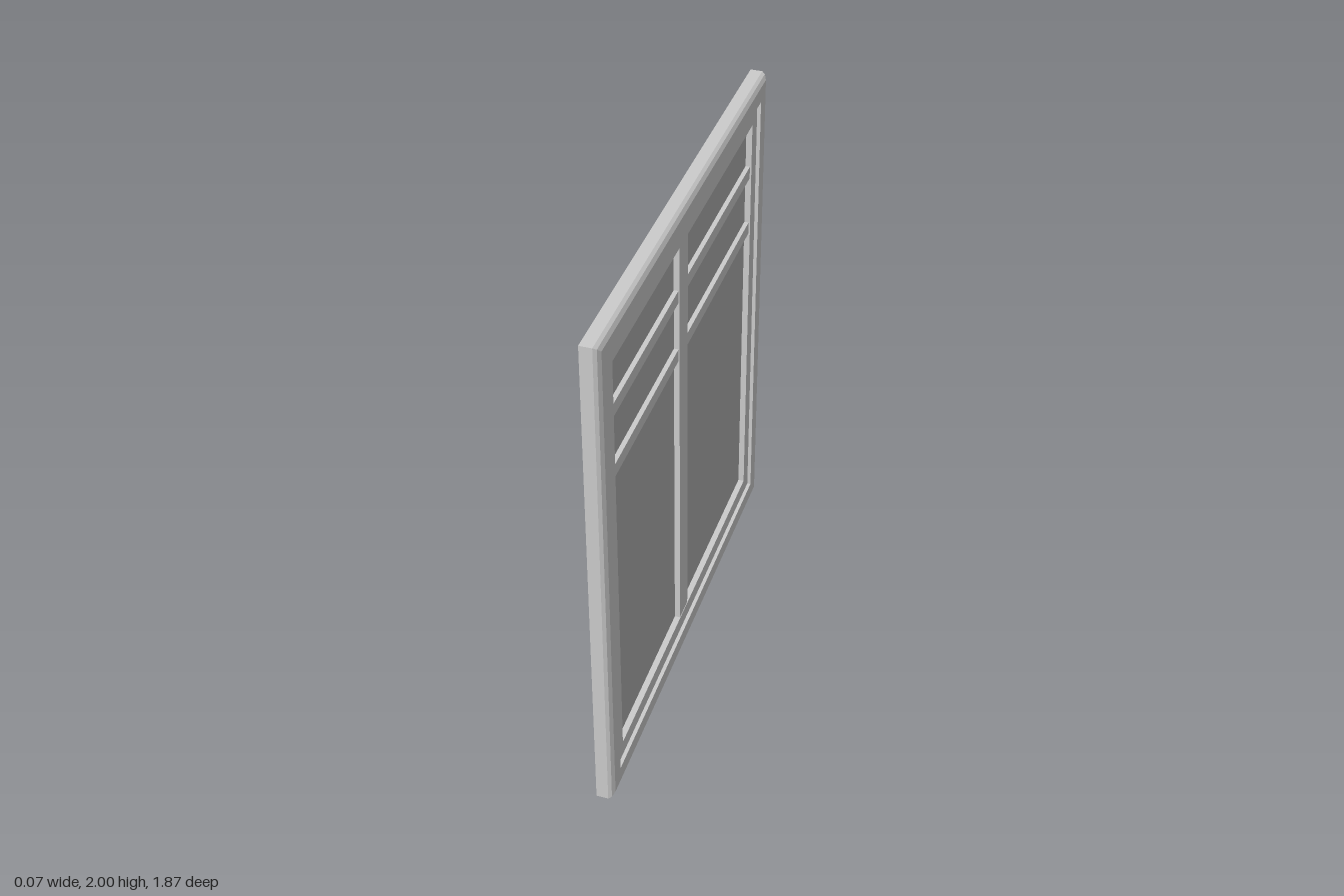
import * as THREE from 'three';

const W = 0.933, H = 2; // half width along z, full height
const grey = new THREE.MeshStandardMaterial({ color: 0xcccccc, side: THREE.DoubleSide });
const paneGrey = new THREE.MeshStandardMaterial({ color: 0xaeaeae, side: THREE.DoubleSide });

// Flat-faced skin stretched between successive rows of [x, y, z] points
function skin(name, rows) {
  const pos = [];
  for (let i = 0; i < rows.length - 1; i++) {
    for (let k = 0; k < rows[i].length - 1; k++) {
      const a = rows[i][k], b = rows[i][k + 1], c = rows[i + 1][k + 1], d = rows[i + 1][k];
      pos.push(...a, ...b, ...c, ...a, ...c, ...d);
    }
  }
  const geo = new THREE.BufferGeometry();
  geo.setAttribute('position', new THREE.Float32BufferAttribute(pos, 3));
  geo.computeVertexNormals();
  const mesh = new THREE.Mesh(geo, grey);
  mesh.name = name;
  return mesh;
}

// Mitred rectangular moulding; profile points are [inset from outer edge, x]
function moulding(name, profile) {
  return skin(name, profile.map(([d, x]) => {
    const z = W - d, lo = d, hi = H - d;
    return [[x, lo, z], [x, lo, -z], [x, hi, -z], [x, hi, z], [x, lo, z]];
  }));
}

// Channel section, open at the back: [across, x] points
const channel = (a, b, back, front) => [[a, back], [a, front], [b, front], [b, back]];

export function createModel() {
  const group = new THREE.Group();
  group.name = 'window';

  // Outer frame with a rounded front edge, hollow behind
  group.add(moulding('outerFrame', [
    [0, -0.035], [0, 0.01], [0.007, 0.022], [0.022, 0.031], [0.083, 0.031], [0.083, 0.0],
  ]));

  // Inner sash, set back from the frame
  group.add(moulding('sash', [
    [0.087, 0.0], [0.087, 0.018], [0.148, 0.018], [0.148, -0.014],
  ]));

  // Upright glazing bar
  group.add(skin('verticalBar', channel(0.003, 0.097, -0.014, 0.016)
    .map(([z, x]) => [[x, 0.09, z], [x, 1.91, z]])));

  // Two cross bars
  for (const y of [1.405, 1.65]) {
    group.add(skin('crossBar', channel(y - 0.025, y + 0.025, -0.02, 0.012)
      .map(([v, x]) => [[x, v, 0.91], [x, v, -0.91]])));
  }

  // Glass pane
  const glass = new THREE.Mesh(new THREE.PlaneGeometry(1.69, 1.83), paneGrey);
  glass.name = 'glass';
  glass.rotation.y = Math.PI / 2;
  glass.position.set(-0.005, 1.0, 0);
  group.add(glass);

  return group;
}
